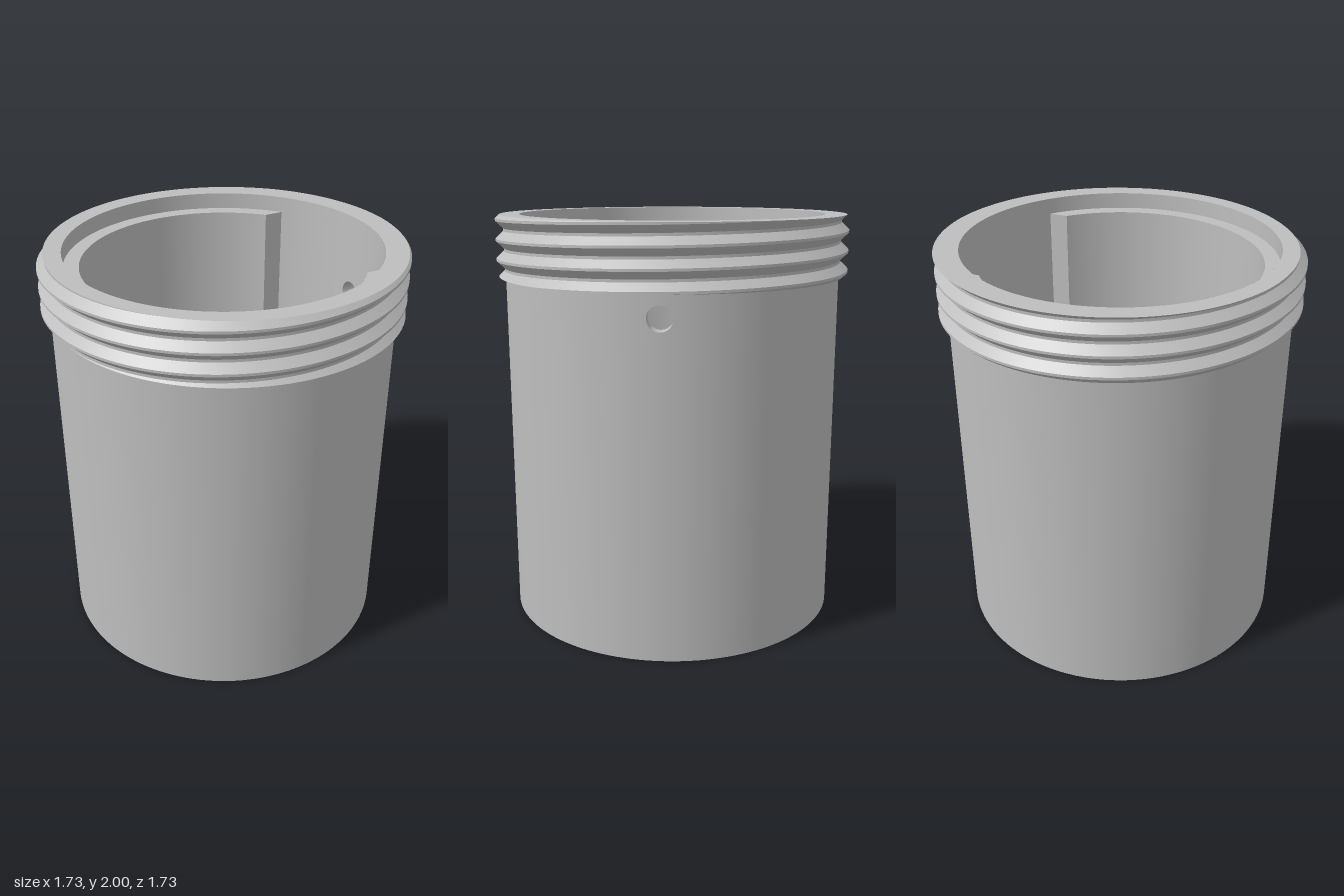
import * as THREE from 'three';
import { toCreasedNormals } from 'three/addons/utils/BufferGeometryUtils.js';

const OUTER = 0.825, COUNTERBORE = 0.75, BORE = 0.675;
const TOP = 2, THREAD_BASE = 1.705, LEDGE = 1.92, POCKET_FLOOR = 0.15, FLOOR = 0.08;
const POCKET_Z = 0.45;                      // half width of the side pocket
const HOLE_Y = 1.597, HOLE_R = 0.058;       // side hole, on +x
const PATCH_U = 0.12, PATCH_H = 0.1;        // wall patch around the hole
const TAU = Math.PI * 2;

// Surface from rows of points; at(i, j) returns [x, y, z]
function grid(rows, cols, at) {
  const pos = [], index = [];
  for (let i = 0; i <= rows; i++)
    for (let j = 0; j <= cols; j++) pos.push(...at(i, j));
  const v = (k) => new THREE.Vector3().fromArray(pos, k * 3);
  const tri = (a, b, c) => {
    if (new THREE.Triangle(v(a), v(b), v(c)).getArea() > 1e-9) index.push(a, b, c);
  };
  for (let i = 0; i < rows; i++)
    for (let j = 0; j < cols; j++) {
      const a = i * (cols + 1) + j, c = a + cols + 1;
      tri(a, a + 1, c);
      tri(a + 1, c + 1, c);
    }
  const geo = new THREE.BufferGeometry();
  geo.setAttribute('position', new THREE.Float32BufferAttribute(pos, 3));
  geo.setIndex(index);
  return geo;
}

// Upright cylindrical wall between angles u0 and u1, measured from +x
function wall(r, y0, y1, u0 = 0, u1 = TAU) {
  const seg = Math.max(8, Math.round(144 * (u1 - u0) / TAU));
  return new THREE.CylinderGeometry(r, r, y1 - y0, seg, 1, true, Math.PI / 2 + u0, u1 - u0)
    .translate(0, (y0 + y1) / 2, 0);
}

// Point on the rim of the side hole, at wall radius r
function holePoint(r, t) {
  const z = HOLE_R * Math.cos(t);
  return [Math.sqrt(r * r - z * z), HOLE_Y + HOLE_R * Math.sin(t), z];
}

// Curved wall patch with the round hole in it
function holePatch(r) {
  const geo = grid(1, 64, (i, j) => {
    const t = j / 64 * TAU;
    if (i === 0) return holePoint(r, t);
    const c = Math.cos(t), s = Math.sin(t), m = Math.max(Math.abs(c), Math.abs(s));
    const u = PATCH_U * c / m;
    return [r * Math.cos(u), HOLE_Y + PATCH_H * s / m, r * Math.sin(u)];
  });
  const p = geo.attributes.position, n = [];
  for (let i = 0; i < p.count; i++) n.push(p.getX(i) / r, 0, p.getZ(i) / r);
  geo.setAttribute('normal', new THREE.Float32BufferAttribute(n, 3));
  return geo;
}

// Flat ring sector between the bore and the counterbore
function sector(y, outer0, outer1, inner0, inner1) {
  const shape = new THREE.Shape();
  shape.absarc(0, 0, COUNTERBORE, outer0, outer1, false);
  shape.absarc(0, 0, BORE, inner1, inner0, true);
  return new THREE.ShapeGeometry(shape, 96).rotateX(-Math.PI / 2).translate(0, y, 0);
}

function disc(r, y, turn) {
  return new THREE.CircleGeometry(r, 144).rotateX(turn * Math.PI / 2).translate(0, y, 0);
}

// Right-handed screw thread, cut flat at both ends, with the top rim
function threadGeometry() {
  const pitch = 0.095, root = 0.83, crest = 0.867, flat = 0.006, foot = 0.041, cols = 216;
  const rows = [];
  for (let k = -3; k <= 4; k++)
    for (const d of [-foot, -flat, flat, foot]) rows.push(k * pitch + d);
  const radius = (d) => {
    const e = Math.abs(d - pitch * Math.round(d / pitch));
    return THREE.MathUtils.clamp(crest - (crest - root) * (e - flat) / (foot - flat), root, crest);
  };
  const geo = grid(rows.length + 1, cols, (i, j) => {
    const a = -TAU * j / cols;
    const crestY = 1.805 - pitch * a / TAU;
    let y, r;
    if (i === 0) [y, r] = [THREAD_BASE, OUTER - 0.005];
    else if (i > rows.length) [y, r] = [TOP, COUNTERBORE];
    else {
      y = THREE.MathUtils.clamp(crestY + rows[i - 1], THREAD_BASE, TOP);
      r = radius(y - crestY);
    }
    return [r * Math.cos(a), y, r * Math.sin(a)];
  });
  return toCreasedNormals(geo, 0.3);
}

export function createModel() {
  const model = new THREE.Group();
  model.name = 'threadedCanister';
  const metal = new THREE.MeshStandardMaterial({ color: 0xbebebe });
  metal.name = 'grey metal';
  metal.side = THREE.DoubleSide;

  const part = (name, ...geometries) => {
    const group = new THREE.Group();
    group.name = name;
    for (const g of geometries) {
      const mesh = new THREE.Mesh(g, metal);
      mesh.name = name;
      group.add(mesh);
    }
    model.add(group);
  };

  const uOut = Math.asin(POCKET_Z / COUNTERBORE), uIn = Math.asin(POCKET_Z / BORE);
  const low = HOLE_Y - PATCH_H, high = HOLE_Y + PATCH_H;

  // Outside
  part('outerWall',
    wall(OUTER, 0, THREAD_BASE, PATCH_U, TAU - PATCH_U),
    wall(OUTER, 0, low, -PATCH_U, PATCH_U),
    wall(OUTER, high, THREAD_BASE, -PATCH_U, PATCH_U),
    holePatch(OUTER));
  part('base', disc(OUTER, 0, 1));
  part('screwThread', threadGeometry());

  // Inside: counterbore, ledge, bore and floor
  part('counterbore', wall(COUNTERBORE, LEDGE, TOP));
  part('ledge', sector(LEDGE, uOut, TAU - uOut, uIn, TAU - uIn));
  part('bore',
    wall(BORE, POCKET_FLOOR, LEDGE, uIn, TAU - uIn),
    wall(BORE, FLOOR, POCKET_FLOOR));
  part('boreFloor', disc(BORE, FLOOR, -1));

  // Side pocket, with flat cheeks at both edges
  const x0 = BORE * Math.cos(uIn), x1 = COUNTERBORE * Math.cos(uOut);
  const cheeks = [-1, 1].map((side) =>
    new THREE.PlaneGeometry(x1 - x0, LEDGE - POCKET_FLOOR)
      .translate((x0 + x1) / 2, (LEDGE + POCKET_FLOOR) / 2, side * POCKET_Z));
  part('sidePocket',
    wall(COUNTERBORE, POCKET_FLOOR, LEDGE, PATCH_U, uOut),
    wall(COUNTERBORE, POCKET_FLOOR, LEDGE, -uOut, -PATCH_U),
    wall(COUNTERBORE, POCKET_FLOOR, low, -PATCH_U, PATCH_U),
    wall(COUNTERBORE, high, LEDGE, -PATCH_U, PATCH_U),
    holePatch(COUNTERBORE),
    sector(POCKET_FLOOR, -uOut, uOut, -uIn, uIn),
    ...cheeks);

  // Hole through the wall
  const tube = grid(1, 64, (i, j) => holePoint(i ? OUTER : COUNTERBORE, j / 64 * TAU));
  part('sideHole', toCreasedNormals(tube, 0.5));

  return model;
}
